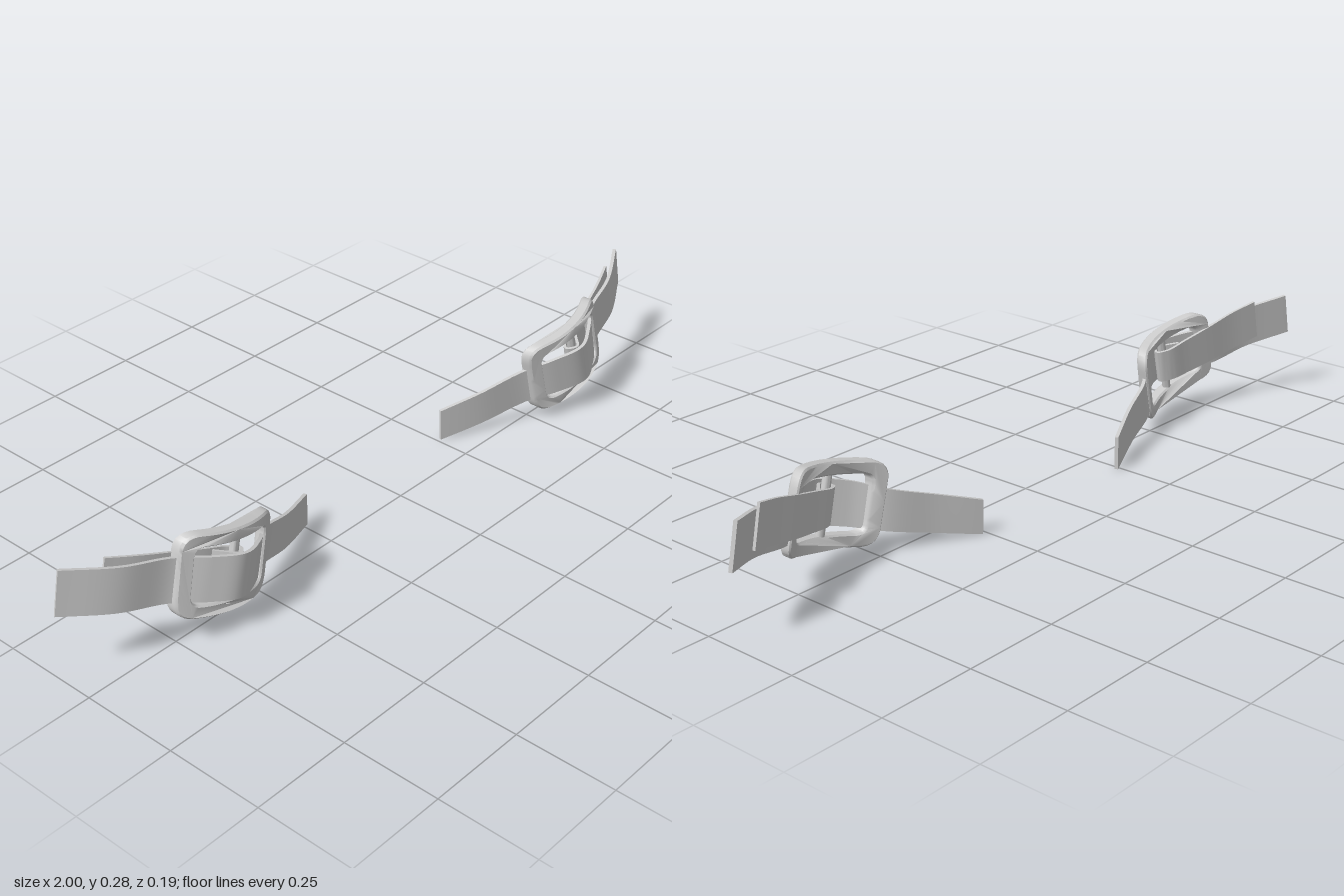
import * as THREE from 'three';
import { toCreasedNormals } from 'three/addons/utils/BufferGeometryUtils.js';

const TILT = 0.22; // slope of each buckle in the front plane
const material = new THREE.MeshStandardMaterial({ color: 0xcccccc, side: THREE.DoubleSide });

// Mirror a geometry across x when side is -1, keeping faces outward
function mirrored(geo, side) {
  const g = geo.index ? geo.toNonIndexed() : geo;
  if (side < 0) {
    g.scale(-1, 1, 1);
    const p = g.attributes.position;
    const a = new THREE.Vector3(), b = new THREE.Vector3();
    for (let i = 0; i < p.count; i += 3) {
      a.fromBufferAttribute(p, i + 1);
      b.fromBufferAttribute(p, i + 2);
      p.setXYZ(i + 1, b.x, b.y, b.z);
      p.setXYZ(i + 2, a.x, a.y, a.z);
    }
  }
  g.deleteAttribute('uv');
  return toCreasedNormals(g, 0.6);
}

function part(name, geo, side) {
  const mesh = new THREE.Mesh(mirrored(geo, side), material);
  mesh.name = name;
  return mesh;
}

// Flat band swept along a path; points are [x, y, z, half height, tilt]
function band(points, thickness, steps) {
  const curve = new THREE.CatmullRomCurve3(points.map(p => new THREE.Vector3(p[0], p[1], p[2])));
  const pos = [], index = [];
  for (let i = 0; i <= steps; i++) {
    const t = i / steps, f = t * (points.length - 1);
    const k = Math.min(Math.floor(f), points.length - 2);
    const half = THREE.MathUtils.lerp(points[k][3], points[k + 1][3], f - k);
    const tilt = THREE.MathUtils.lerp(points[k][4], points[k + 1][4], f - k);
    const c = curve.getPoint(t);
    const up = new THREE.Vector3(-Math.sin(tilt), Math.cos(tilt), 0);
    const out = new THREE.Vector3().crossVectors(curve.getTangent(t), up).normalize();
    for (const [h, d] of [[-1, 1], [1, 1], [1, -1], [-1, -1]]) {
      const v = c.clone().addScaledVector(up, h * half).addScaledVector(out, d * thickness / 2);
      pos.push(v.x, v.y, v.z);
    }
    if (i < steps) {
      for (let j = 0; j < 4; j++) {
        const a = i * 4 + j, b = i * 4 + (j + 1) % 4;
        index.push(a, a + 4, b, b, a + 4, b + 4);
      }
    }
  }
  const e = steps * 4;
  index.push(0, 1, 2, 0, 2, 3, e, e + 2, e + 1, e, e + 3, e + 2);
  const g = new THREE.BufferGeometry();
  g.setAttribute('position', new THREE.Float32BufferAttribute(pos, 3));
  g.setIndex(index);
  return g;
}

// Rounded rectangle outline with evenly spaced points so it can be bent
function outline(w, h, r, Type) {
  const s = new THREE.Shape(), x = w / 2, y = h / 2;
  s.moveTo(-x + r, -y).lineTo(x - r, -y).quadraticCurveTo(x, -y, x, -y + r);
  s.lineTo(x, y - r).quadraticCurveTo(x, y, x - r, y);
  s.lineTo(-x + r, y).quadraticCurveTo(-x, y, -x, y - r);
  s.lineTo(-x, -y + r).quadraticCurveTo(-x, -y, -x + r, -y);
  return new Type(s.getSpacedPoints(88).slice(0, -1));
}

// Buckle frame bowed forward in the middle
function frameGeometry() {
  const shape = outline(0.27, 0.196, 0.04, THREE.Shape);
  shape.holes.push(outline(0.222, 0.148, 0.028, THREE.Path));
  const g = new THREE.ExtrudeGeometry(shape, {
    depth: 0.022, bevelEnabled: true, bevelThickness: 0.005, bevelSize: 0.004, bevelSegments: 1,
  });
  const p = g.attributes.position;
  for (let i = 0; i < p.count; i++) {
    const u = p.getX(i) / 0.137;
    p.setZ(i, p.getZ(i) + 0.042 - 0.04 * u * u - 0.03 * p.getY(i));
  }
  return g.rotateZ(TILT).translate(0.612, 0.155, 0);
}

function createBuckledStrap(side, innerX, shiftZ) {
  const group = new THREE.Group();
  group.name = side > 0 ? 'leftBuckledStrap' : 'rightBuckledStrap';
  const z = shiftZ;

  group.add(part('buckleFrame', frameGeometry().translate(0, 0, z), side));

  // Centre bar joining the upper and lower rails
  const bar = new THREE.CylinderGeometry(0.011, 0.011, 0.175, 12);
  bar.rotateZ(TILT).translate(0.612, 0.155, 0.052 + z);
  group.add(part('centreBar', bar, side));

  // Free strap: behind the inner rail, over the bar, behind the outer rail
  group.add(part('mainStrap', band([
    [innerX, 0.05, -0.096, 0.043, 0.02],
    [0.36, 0.077, -0.044, 0.046, 0.12],
    [0.47, 0.109, 0.002 + z, 0.049, 0.2],
    [0.54, 0.133, 0.056 + z, 0.053, TILT],
    [0.612, 0.15, 0.087 + z, 0.055, TILT],
    [0.68, 0.163, 0.058 + z, 0.055, TILT],
    [0.755, 0.178, 0.01 + z, 0.055, TILT],
    [0.87, 0.203, -0.021 + z, 0.055, 0.21],
    [0.985, 0.229, -0.083 + z, 0.055, 0.2],
  ], 0.009, 56), side));

  // Fixed strap: loops round the bar and runs outward behind the free strap
  group.add(part('loopStrap', band([
    [0.89, 0.229, -0.046 + z, 0.052, 0.2],
    [0.82, 0.209, -0.021 + z, 0.052, 0.2],
    [0.74, 0.186, -0.001 + z, 0.05, TILT],
    [0.67, 0.168, 0.018 + z, 0.047, TILT],
    [0.615, 0.155, 0.032 + z, 0.044, TILT],
    [0.592, 0.15, 0.052 + z, 0.044, TILT],
    [0.612, 0.155, 0.072 + z, 0.044, TILT],
    [0.634, 0.16, 0.052 + z, 0.044, TILT],
    [0.655, 0.165, 0.03 + z, 0.044, TILT],
  ], 0.007, 56), side));
  return group;
}

export function createModel() {
  const model = new THREE.Group();
  model.name = 'buckledStraps';
  model.add(createBuckledStrap(1, 0.26, 0.003));
  model.add(createBuckledStrap(-1, 0.238, -0.011));
  // Centre the pair and stand it on the ground
  const box = new THREE.Box3().setFromObject(model);
  const c = box.getCenter(new THREE.Vector3());
  model.position.set(-c.x, -box.min.y, -c.z);
  return model;
}
